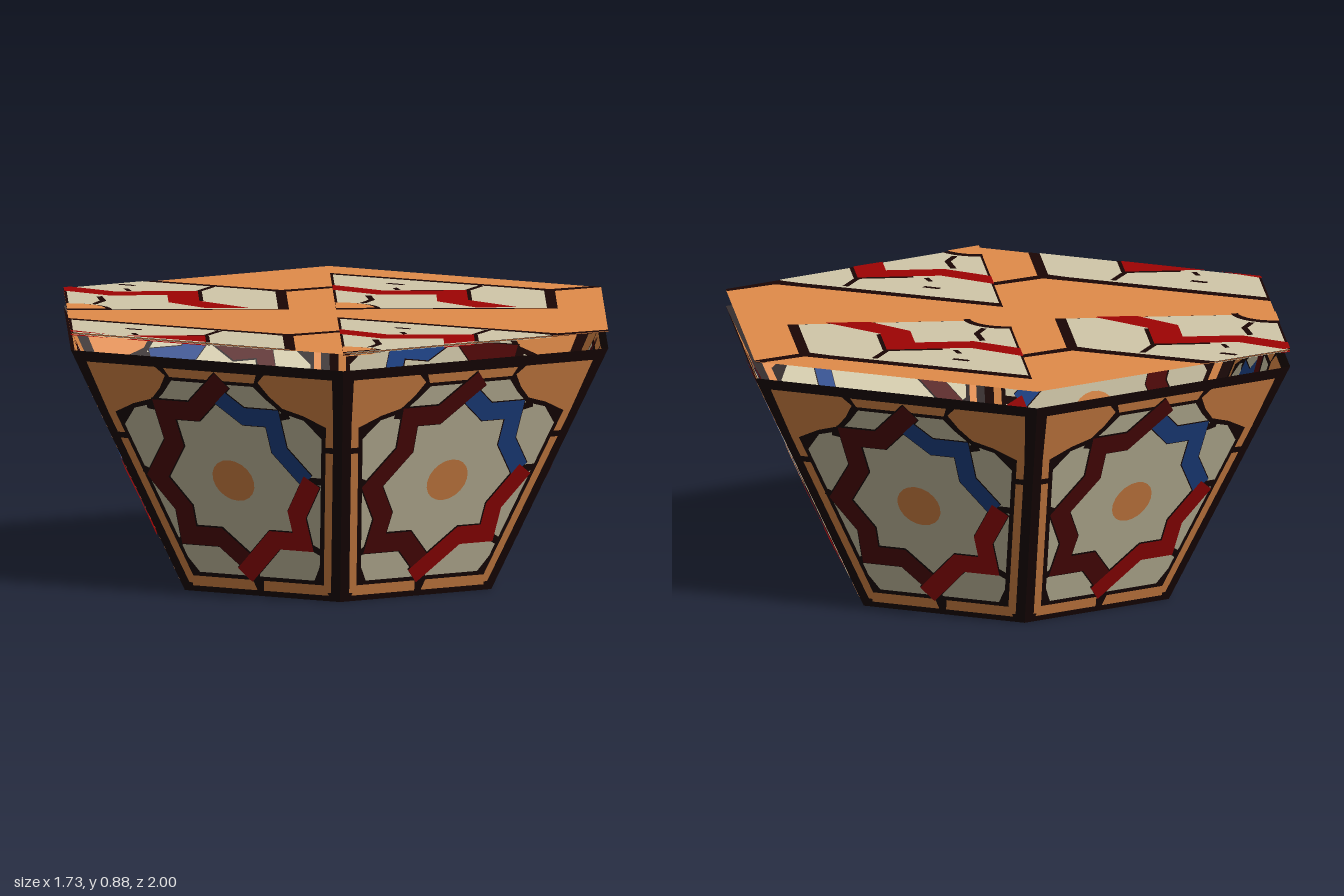
import * as THREE from 'three';

const mat = (name, color) => {
  const m = new THREE.MeshStandardMaterial({ color, side: THREE.DoubleSide });
  m.name = name;
  return m;
};
const MAT = {
  black: mat('black outline', 0x1a0504),
  orange: mat('orange', 0xe28c4a),
  cream: mat('cream', 0xd1c8a9),
  darkRed: mat('dark red', 0x520606),
  red: mat('red', 0x9e0303),
  blue: mat('blue', 0x20468c),
};

const TOP = 0.813, LID = 0.868, R0 = 0.57, C = Math.sqrt(3) / 2;
const SLOPE = ((1 - R0) * C) / TOP;          // outward lean of a wall
const STRETCH = Math.hypot(1, SLOPE);        // height -> distance along the wall
const STEP = 0.0015;                         // gap between paint layers

const edge = (y, inset = 0) => R0 / 2 + ((1 - R0) / 2) * (y / TOP) - inset;
const mirror = (poly) => poly.map(([x, y]) => [-x, y]);

// Polyline widened to a band with mitred joints
function ribbon(pts, half) {
  const left = [], right = [];
  pts.forEach(([x, y], i) => {
    const a = pts[Math.max(i - 1, 0)], b = pts[Math.min(i + 1, pts.length - 1)];
    const d1 = new THREE.Vector2(x - a[0], y - a[1]).normalize();
    const d2 = new THREE.Vector2(b[0] - x, b[1] - y).normalize();
    const n = d1.clone().add(d2).normalize();
    const ref = d1.lengthSq() ? d1 : d2;
    const k = half / Math.max(0.5, n.dot(ref));
    left.push([x - n.y * k, y + n.x * k]);
    right.unshift([x + n.y * k, y - n.x * k]);
  });
  return left.concat(right);
}

function ellipse(cx, cy, rx, ry, from = 0, sweep = Math.PI * 2, n = 20) {
  const pts = [];
  for (let i = 0; i < n; i++) {
    const t = from + (sweep * i) / (n - 1 + (sweep > 6 ? 1 : 0));
    pts.push([cx + rx * Math.cos(t), cy + ry * Math.sin(t)]);
  }
  return pts;
}

// Keep the part of a convex polygon where nx*x + ny*y <= d
function clip(poly, [nx, ny, d]) {
  const out = [];
  poly.forEach((p, i) => {
    const q = poly[(i + 1) % poly.length];
    const a = nx * p[0] + ny * p[1] - d, b = nx * q[0] + ny * q[1] - d;
    if (a <= 0) out.push(p);
    if (a * b < 0) {
      const t = a / (a - b);
      out.push([p[0] + (q[0] - p[0]) * t, p[1] + (q[1] - p[1]) * t]);
    }
  });
  return out;
}

// Flat geometry in the xy plane from polygons, trimmed by half-planes
function flat(polys, planes = [], sy = 1) {
  const pos = [];
  for (const poly of polys) {
    const v = poly.map(([x, y]) => new THREE.Vector2(x, y));
    if (THREE.ShapeUtils.isClockWise(v)) v.reverse();
    for (const f of THREE.ShapeUtils.triangulateShape(v, [])) {
      let t = f.map((i) => [v[i].x, v[i].y]);
      for (const p of planes) t = clip(t, p);
      for (let i = 1; i + 1 < t.length; i++)
        for (const q of [t[0], t[i], t[i + 1]]) pos.push(q[0], q[1] * sy, 0);
    }
  }
  const g = new THREE.BufferGeometry();
  g.setAttribute('position', new THREE.Float32BufferAttribute(pos, 3));
  g.computeVertexNormals();
  return g;
}

// Stack paint layers on both faces of a sheet
function addLayers(group, layers) {
  layers.forEach(([name, material, geo], i) => {
    for (const s of i ? [1, -1] : [1]) {
      const m = new THREE.Mesh(geo, material);
      m.name = name;
      m.position.z = s * i * STEP;
      group.add(m);
    }
  });
}

// Wall pattern: x across the wall, y up from its foot
function wallLayers() {
  const quad = (y0, y1, i0, i1) => [[-edge(y0, i0), y0], [-edge(y0, i1), y0], [-edge(y1, i1), y1], [-edge(y1, i0), y1]];
  const strip = quad(0.03, 0.52, 0.033, 0.06), stripTop = quad(0.54, 0.61, 0.033, 0.06);
  const corner = [[-edge(0.778, 0.04), 0.778], [-0.2, 0.778], [-0.17, 0.75], [-0.2, 0.705], [-0.24, 0.665],
    [-0.31, 0.645], [-edge(0.61, 0.06), 0.61], [-edge(0.61, 0.033), 0.61]];
  const foot = [[-0.25, 0.02], [-0.012, 0.02], [-0.02, 0.055], [-0.24, 0.055]];
  const topStrip = [[-0.155, 0.746], [0.155, 0.746], [0.17, 0.776], [-0.17, 0.776]];
  const half = [[-0.15, 0.735], [-0.19, 0.69], [-0.235, 0.65], [-0.31, 0.63], [-edge(0.57, 0.075), 0.57],
    [-edge(0.12, 0.075), 0.12], [-0.21, 0.07]];
  const field = half.concat(mirror(half).reverse());

  // Bands of the eight-pointed star
  const dark = [[0.04, 0.75], [-0.09, 0.635], [-0.2, 0.635], [-0.19, 0.52], [-0.28, 0.4], [-0.21, 0.295],
    [-0.215, 0.2], [-0.1, 0.2], [-0.02, 0.12]];
  const blue = [[-0.02, 0.72], [0.09, 0.63], [0.195, 0.63], [0.195, 0.52], [0.27, 0.42]];
  const red = [[-0.04, 0.075], [0.1, 0.205], [0.205, 0.205], [0.205, 0.3], [0.29, 0.42]];
  // Dark seams between the outer cream pieces
  const seams = [
    [[-0.2, 0.635], [-0.26, 0.645]], [[0.195, 0.63], [0.26, 0.645]], [[-0.28, 0.4], [-0.33, 0.42]],
    [[0.28, 0.42], [0.33, 0.42]], [[-0.215, 0.2], [-0.26, 0.17]], [[0.205, 0.2], [0.26, 0.17]],
    [[0, 0.1], [0, 0.07]], [[0, 0.72], [0, 0.745]],
  ].map((s) => ribbon(s, 0.012));

  const g = (...polys) => flat(polys, [], STRETCH);
  return [
    ['wallPanel', MAT.black, g([[-edge(0), 0], [edge(0), 0], [edge(TOP), TOP], [-edge(TOP), TOP]])],
    ['wallFrame', MAT.orange, g(...[strip, stripTop, corner, foot].flatMap((p) => [p, mirror(p)]), topStrip)],
    ['creamField', MAT.cream, g(field)],
    ['starOutline', MAT.black, g(ribbon(dark, 0.036), ribbon(blue, 0.033), ribbon(red, 0.033), ...seams)],
    ['starBlueBand', MAT.blue, g(ribbon(blue, 0.03))],
    ['starDarkBand', MAT.darkRed, g(ribbon(dark, 0.032))],
    ['starRedBand', MAT.red, g(ribbon(red, 0.031))],
    ['starCentre', MAT.orange, g(ellipse(0, 0.405, 0.075, 0.07))],
  ];
}

// Lid pattern: one tile repeated over a 2 x 2 grid, trimmed to the hexagon
function lidLayers() {
  const planes = [];
  for (let k = 0; k < 6; k++) planes.push([Math.cos((k * Math.PI) / 3), Math.sin((k * Math.PI) / 3), C]);
  const border = [[0, 0.17], [0.7, 0.55], [C, 0.47], [C, 0.51], [0.715, 0.59], [0.715, 0.992], [0, 0.992]];
  const cream = [[0.008, 0.215], [0.62, 0.553], [0.68, 0.595], [0.68, 0.985], [0.008, 0.985]];
  const band = [[0, 0.47], [0.16, 0.6], [0.43, 0.6], [0.43, 0.82], [0.59, 0.988], [0.45, 0.988], [0.33, 0.85],
    [0.33, 0.69], [0.14, 0.69], [0, 0.58]];
  const quarter = (r) => [[0, 1], ...ellipse(0, 1, r, r, -Math.PI / 2, Math.PI / 2, 8)];
  const lines = [
    ribbon([[0.25, 0.597], [0.43, 0.597], [0.48, 0.49]], 0.01), ribbon([[0.435, 0.6], [0.435, 0.82]], 0.008),
    ribbon([[0.09, 0.87], [0.12, 0.8], [0.11, 0.7]], 0.01), ribbon([[0.18, 0.43], [0.23, 0.46]], 0.01),
    ribbon([[0.2, 0.53], [0.21, 0.58]], 0.008), quarter(0.145),
  ];
  // Tile z runs toward the front, so flip it into the sheet's own y
  const tiles = (...polys) => {
    const all = [];
    for (const x0 of [-C, 0]) for (const z0 of [-1, 0])
      for (const p of polys) all.push(p.map(([x, z]) => [x + x0, -(z + z0)]));
    return flat(all, planes);
  };
  return [
    ['lidSheet', MAT.orange, flat([[[-C, -1], [C, -1], [C, 1], [-C, 1]]], planes)],
    ['lidBorder', MAT.black, tiles(border)],
    ['lidCream', MAT.cream, tiles(cream)],
    ['lidLines', MAT.black, tiles(...lines)],
    ['lidRedBand', MAT.red, tiles(band)],
    ['lidCorner', MAT.orange, tiles(quarter(0.125))],
  ];
}

export function createModel() {
  const model = new THREE.Group();
  model.name = 'hexagonalShade';

  // Six leaning walls, open at the top and bottom
  const layers = wallLayers();
  for (let k = 0; k < 6; k++) {
    const wall = new THREE.Group();
    wall.name = 'wall' + (k + 1);
    wall.rotation.y = Math.PI / 6 + (k * Math.PI) / 3;
    const sheet = new THREE.Group();
    sheet.name = 'wallSheet';
    sheet.position.z = R0 * C;
    sheet.rotation.x = Math.atan(SLOPE);
    addLayers(sheet, layers);
    wall.add(sheet);
    model.add(wall);
  }

  // Thin lid floating just above the rim
  const lid = new THREE.Group();
  lid.name = 'lid';
  lid.position.y = LID;
  lid.rotation.x = -Math.PI / 2;
  addLayers(lid, lidLayers());
  model.add(lid);
  return model;
}
